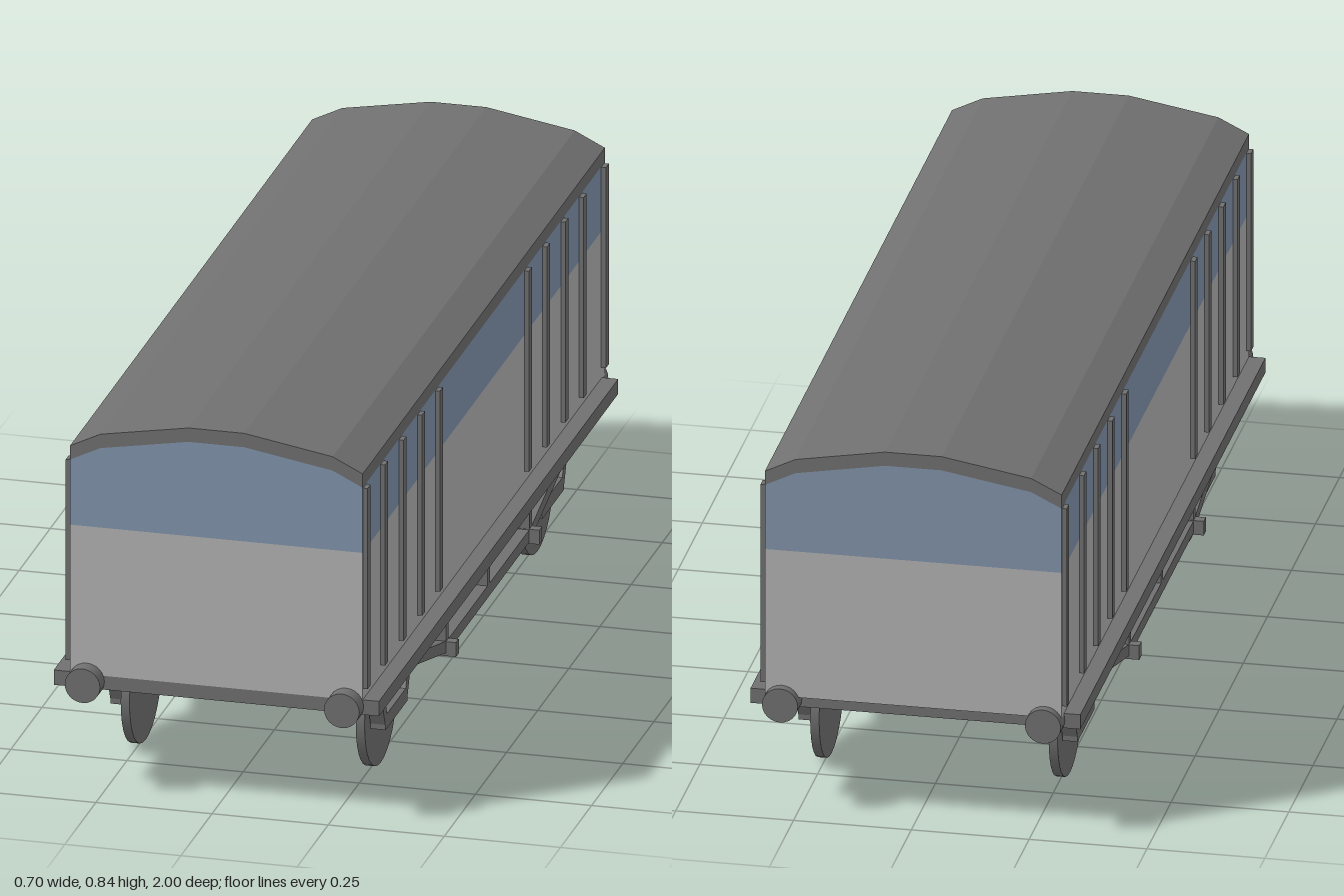
import * as THREE from 'three';

const mat = (name, color) => {
  const m = new THREE.MeshStandardMaterial({ color });
  m.name = name;
  return m;
};

export function createModel() {
  const grey = mat('dark grey', 0x707070);
  const light = mat('light grey', 0xb2b2b2);
  const blue = mat('slate blue', 0x8194ab);
  const root = new THREE.Group();
  root.name = 'railVan';

  const add = (name, geo, material, x = 0, y = 0, z = 0) => {
    const m = new THREE.Mesh(geo, material);
    m.name = name;
    m.position.set(x, y, z);
    root.add(m);
    return m;
  };
  const box = (name, w, h, d, x, y, z, material = grey) =>
    add(name, new THREE.BoxGeometry(w, h, d), material, x, y, z);

  // Straight bar in a z-y plane between two points [z, y]
  const bar = (name, x, w, t, [z0, y0], [z1, y1]) => {
    const m = box(name, w, t, Math.hypot(z1 - z0, y1 - y0), x, (y0 + y1) / 2, (z0 + z1) / 2);
    m.rotation.x = -Math.atan2(y1 - y0, z1 - z0);
    return m;
  };

  // Body and roof share one arched cross-section
  const zBack = -0.98, length = 1.945;
  const arch = [[0.315, 0.745], [0.25, 0.777], [0.06, 0.81], [-0.06, 0.81], [-0.25, 0.777], [-0.315, 0.745]];
  const extrude = (name, pts, material) => add(name, new THREE.ExtrudeGeometry(
    new THREE.Shape(pts.map(p => new THREE.Vector2(...p))),
    { depth: length, bevelEnabled: false }), material, 0, 0, zBack);
  const raised = arch.map(([x, y]) => [x, y + 0.031]).reverse();
  extrude('roof', [...arch, ...raised], grey);
  extrude('upperBody', [[-0.315, 0.6], [0.315, 0.6], ...arch], blue);
  box('lowerBody', 0.63, 0.33, length, 0, 0.435, zBack + length / 2, light);

  // Underframe slab
  box('underframe', 0.7, 0.033, 1.922, 0, 0.256, 0.004);

  const ribZ = [0.95, 0.81, 0.663, 0.513, 0.37, -0.345, -0.49, -0.638, -0.785, -0.963];
  const wheelZ = [0.623, -0.635];

  for (const s of [1, -1]) {
    // Side ribs
    for (const z of ribZ) box('sideRib', 0.016, 0.447, 0.024, s * 0.317, 0.52, z);

    // Truss: low rail, sloping ends and posts
    const tx = s * 0.311;
    box('trussRail', 0.034, 0.027, 0.68, tx, 0.157, 0);
    for (const e of [1, -1]) bar('trussSlope', tx, 0.034, 0.025, [e * 0.335, 0.157], [e * 0.66, 0.242]);
    for (const z of [0.335, 0, -0.335]) box('trussPost', 0.034, 0.08, 0.02, tx, 0.205, z);

    for (const z of wheelZ) {
      // Wheel
      const wheel = add('wheel', new THREE.CylinderGeometry(0.131, 0.131, 0.019, 32), grey, s * 0.253, 0.131, z);
      wheel.rotation.z = Math.PI / 2;
      // Axle guard: two slanted legs and a bottom tie
      const gx = s * 0.28;
      for (const e of [1, -1]) bar('axleGuardLeg', gx, 0.032, 0.022, [z + e * 0.08, 0.125], [z + e * 0.132, 0.245]);
      box('axleGuardTie', 0.032, 0.032, 0.175, gx, 0.124, z);
    }

    // Buffers
    for (const e of [1, -1]) {
      const buffer = add('buffer', new THREE.CylinderGeometry(0.038, 0.038, 0.067, 24), grey, s * 0.279, 0.257, e * 0.9665);
      buffer.rotation.x = Math.PI / 2;
    }
  }

  // Axles
  for (const z of wheelZ) {
    const axle = add('axle', new THREE.CylinderGeometry(0.0135, 0.0135, 0.414, 16), grey, 0, 0.13, z);
    axle.rotation.z = Math.PI / 2;
  }
  // Truss cross members
  for (const z of [0.335, -0.335]) box('crossMember', 0.7, 0.032, 0.022, 0, 0.156, z);

  return root;
}
